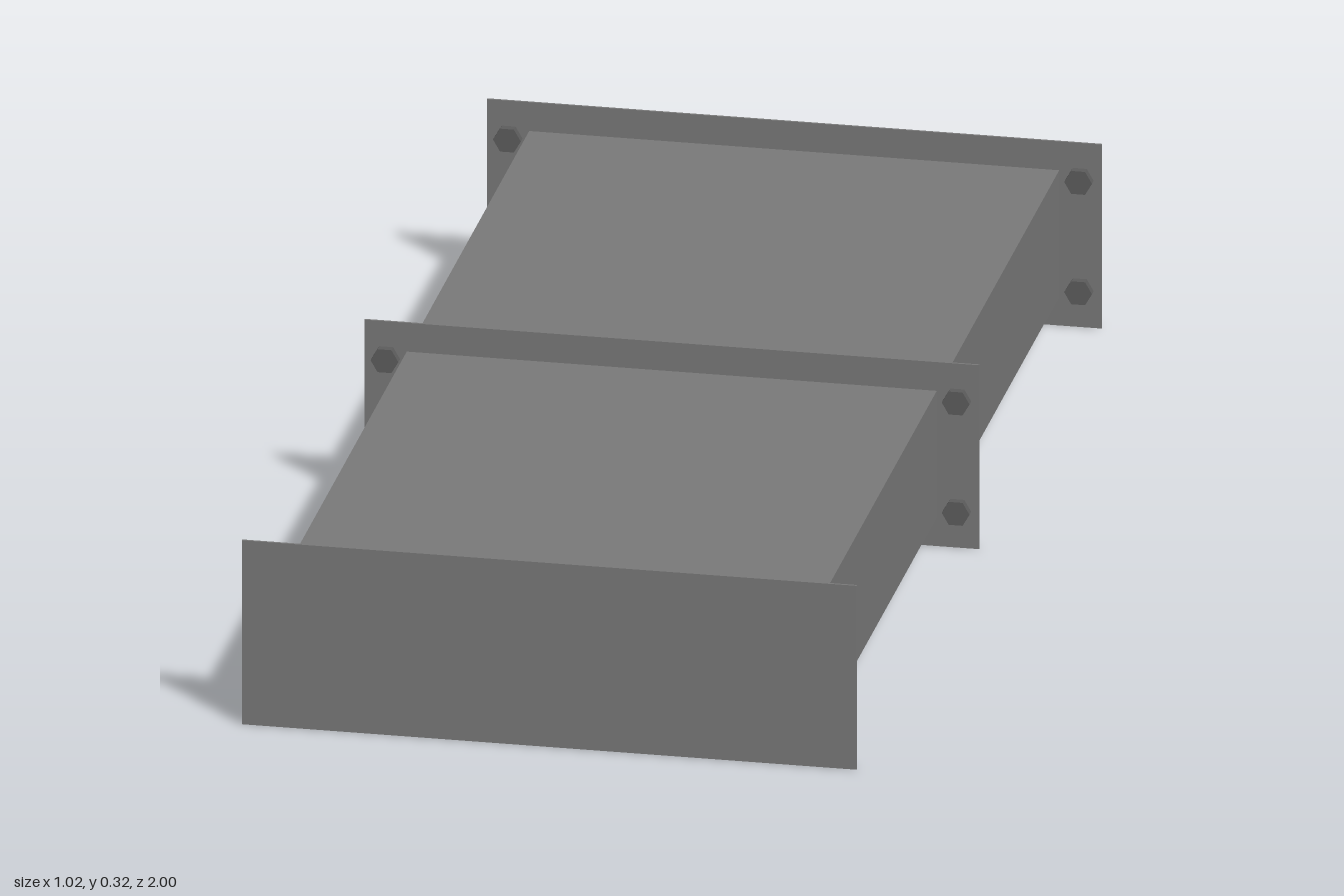
import * as THREE from 'three';

export function createModel() {
  const model = new THREE.Group();
  const sheetMetal = new THREE.MeshStandardMaterial({ color: 0x797979, flatShading: true });
  const boltMetal = new THREE.MeshStandardMaterial({ color: 0x5c5c5c, flatShading: true });
  const midY = 0.16;
  const plateDepth = 0.004;

  const add = (name, geometry, material, x, y, z) => {
    const mesh = new THREE.Mesh(geometry, material);
    mesh.name = name;
    mesh.position.set(x, y, z);
    model.add(mesh);
  };

  // Two duct sections, end to end
  const ductLength = 1 - 1.5 * plateDepth;
  const duct = new THREE.BoxGeometry(0.876, 0.22, ductLength);
  for (const side of [-1, 1]) {
    add(side > 0 ? 'frontDuct' : 'backDuct', duct, sheetMetal, 0, midY, side * (plateDepth + ductLength) / 2);
  }

  // Thin flange plates at both ends and the joint
  const plate = new THREE.BoxGeometry(1.016, 0.32, plateDepth);
  const flanges = [
    { name: 'backFlange', z: -1 + plateDepth / 2, faces: [1] },
    { name: 'middleFlange', z: 0, faces: [-1, 1] },
    { name: 'frontFlange', z: 1 - plateDepth / 2, faces: [-1] },
  ];

  // Hexagonal bolt heads in the flange corners, on the faces toward the ducts
  const headDepth = 0.014;
  const head = new THREE.CylinderGeometry(0.023, 0.023, headDepth, 6);
  head.rotateY(Math.PI / 6).rotateX(Math.PI / 2);

  for (const { name, z, faces } of flanges) {
    add(name, plate, sheetMetal, 0, midY, z);
    for (const face of faces) {
      for (const x of [-0.472, 0.472]) {
        for (const y of [-0.096, 0.096]) {
          add('boltHead', head, boltMetal, x, midY + y, z + face * (plateDepth + headDepth) / 2);
        }
      }
    }
  }
  return model;
}
